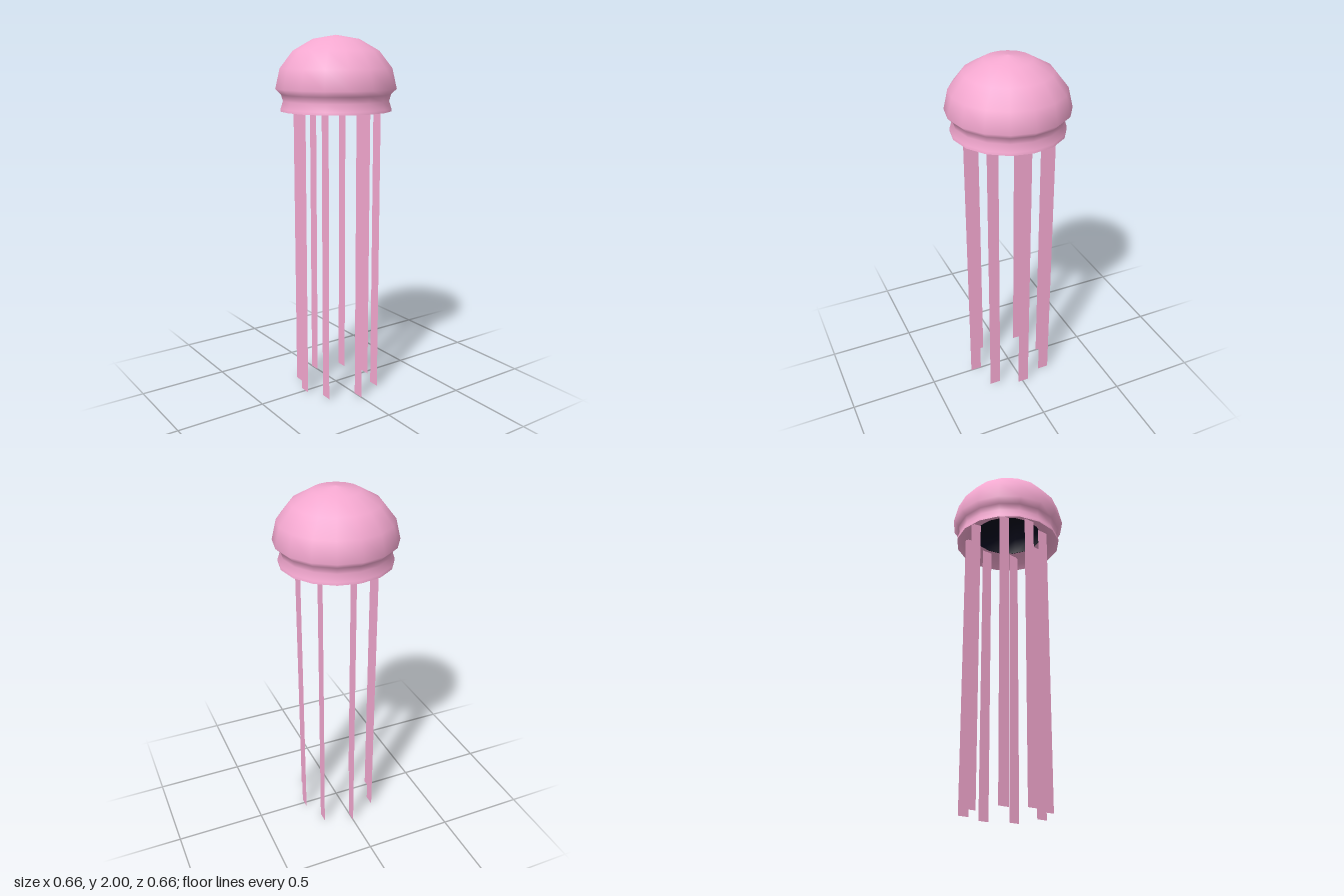
import * as THREE from 'three';

const pink = new THREE.MeshStandardMaterial({ color: 0xf4a8d0 });
const pinkThin = new THREE.MeshStandardMaterial({ color: 0xf4a8d0, side: THREE.DoubleSide });
const dark = new THREE.MeshStandardMaterial({ color: 0x06061a, side: THREE.DoubleSide });

const SIDES = 16;

// Points of a dome from its equator up to the top
function domePoints(radius, height, base) {
  return Array.from({ length: 5 }, (_, i) => {
    const a = (i / 4) * Math.PI / 2;
    return new THREE.Vector2(i === 4 ? 0 : radius * Math.cos(a), base + height * Math.sin(a));
  });
}

function addLathe(group, name, points, material) {
  const mesh = new THREE.Mesh(new THREE.LatheGeometry(points, SIDES), material);
  mesh.name = name;
  group.add(mesh);
}

export function createModel() {
  const model = new THREE.Group();
  model.name = 'jellyfish';

  // Bell: flared rim, pinched neck and rounded dome
  const skirt = [[0.305, 1.6], [0.303, 1.615], [0.29, 1.655], [0.3, 1.69]];
  const bell = [...skirt.map(([r, y]) => new THREE.Vector2(r, y)), ...domePoints(0.33, 0.28, 1.72)];
  addLathe(model, 'bell', bell, pink);

  // Underside lip, rising inwards from the rim to the mouth
  const lip = [[0.2, 1.66], [0.24, 1.655], [0.285, 1.63], [0.305, 1.6]];
  addLathe(model, 'underLip', lip.map(([r, y]) => new THREE.Vector2(r, y)), pinkThin);

  // Dark lining of the hollow bell
  const lining = [new THREE.Vector2(0.2, 1.662), new THREE.Vector2(0.28, 1.69), ...domePoints(0.305, 0.255, 1.72)];
  addLathe(model, 'bellLining', lining, dark);

  // Ring of eight flat ribbons, all facing the front
  const tentacles = new THREE.Group();
  tentacles.name = 'tentacles';
  const height = 1.66;
  const ribbon = new THREE.PlaneGeometry(0.064, height);
  const spots = [[0, 0.215], [0, -0.215]];
  for (const s of [-1, 1]) spots.push([s * 0.224, 0], [s * 0.139, 0.163], [s * 0.162, -0.16]);
  for (const [x, z] of spots) {
    const mesh = new THREE.Mesh(ribbon, pinkThin);
    mesh.name = 'tentacle';
    mesh.position.set(x - 0.003, height / 2, z);
    tentacles.add(mesh);
  }
  model.add(tentacles);

  return model;
}
